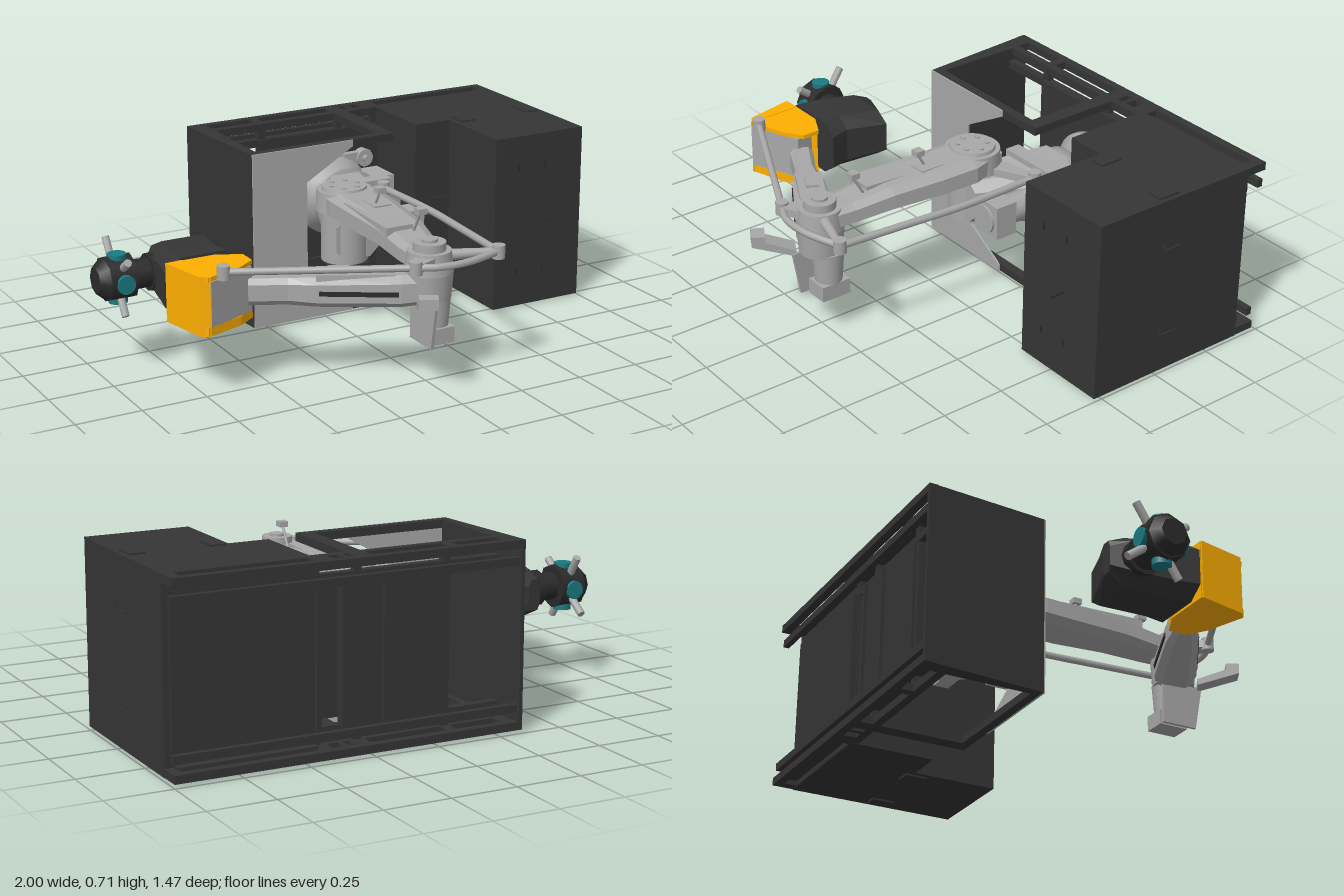
import * as THREE from 'three';

const mat = (color) => new THREE.MeshStandardMaterial({ color, side: THREE.DoubleSide });
const GREY = mat(0xa8a8a8), DARK = mat(0x353535), BLACK = mat(0x2a2a2a), ORANGE = mat(0xffb000), TEAL = mat(0x1a7a80);
const FACET = new THREE.MeshStandardMaterial({ color: 0xa8a8a8, flatShading: true });

export function createModel() {
  const model = new THREE.Group();
  model.name = 'robotCell';
  const group = (name, parent = model) => {
    const g = new THREE.Group();
    g.name = name;
    parent.add(g);
    return g;
  };
  const add = (parent, name, geometry, material = GREY) => {
    const m = new THREE.Mesh(geometry, material);
    m.name = name;
    parent.add(m);
    return m;
  };
  // Box given by its limits on each axis
  const box = (p, name, x0, x1, y0, y1, z0, z1, m = DARK) => {
    const b = add(p, name, new THREE.BoxGeometry(x1 - x0, y1 - y0, z1 - z0), m);
    b.position.set((x0 + x1) / 2, (y0 + y1) / 2, (z0 + z1) / 2);
    return b;
  };
  // Plan outline of [x, z] points raised from y0 to y1
  const slab = (p, name, pts, y0, y1, m = GREY) => {
    const s = new THREE.Shape(pts.map(([x, z]) => new THREE.Vector2(x, -z)));
    const g = new THREE.ExtrudeGeometry(s, { depth: y1 - y0, bevelEnabled: false });
    g.rotateX(-Math.PI / 2).translate(0, y0, 0);
    return add(p, name, g, m);
  };
  // Side outline of [z, y] points, thickened along x
  const profile = (p, name, pts, x, depth) => {
    const s = new THREE.Shape(pts.map(([z, y]) => new THREE.Vector2(-z, y)));
    add(p, name, new THREE.ExtrudeGeometry(s, { depth, bevelEnabled: false }).rotateY(Math.PI / 2)).position.x = x;
  };
  // Cylinder from a to b
  const rod = (p, name, a, b, r0, r1 = r0, m = GREY, n = 24) => {
    const A = new THREE.Vector3(...a), B = new THREE.Vector3(...b), d = B.clone().sub(A);
    const c = add(p, name, new THREE.CylinderGeometry(r1, r0, d.length(), n), m);
    c.position.copy(A).add(B).multiplyScalar(0.5);
    c.quaternion.setFromUnitVectors(new THREE.Vector3(0, 1, 0), d.normalize());
  };
  const tube = (p, name, pts, r) =>
    add(p, name, new THREE.TubeGeometry(new THREE.CatmullRomCurve3(pts.map((v) => new THREE.Vector3(...v))), 20, r, 8));
  // Chamfered box sections [z, centreX, centreY, width, height], in order of rising z
  const loft = (p, name, sections, m = FACET, chamfer = 0.2) => {
    const pos = [], idx = [], k = 0.5 - chamfer;
    const ring = [[0.5, -k], [0.5, k], [k, 0.5], [-k, 0.5], [-0.5, k], [-0.5, -k], [-k, -0.5], [k, -0.5]];
    for (const [z, cx, cy, w, h] of sections) for (const [u, v] of ring) pos.push(cx + u * w, cy + v * h, z);
    const last = (sections.length - 1) * 8;
    for (let s = 0; s < last; s += 8) for (let i = 0; i < 8; i++) {
      const j = (i + 1) % 8;
      idx.push(s + i, s + j, s + 8 + j, s + i, s + 8 + j, s + 8 + i);
    }
    for (let i = 1; i < 7; i++) idx.push(0, i + 1, i, last, last + i, last + i + 1);
    let g = new THREE.BufferGeometry();
    g.setAttribute('position', new THREE.Float32BufferAttribute(pos, 3));
    g.setIndex(idx);
    g = g.toNonIndexed();
    g.computeVertexNormals();
    add(p, name, g, m);
  };

  // L-shaped control cabinet
  const cabinet = group('cabinet');
  slab(cabinet, 'cabinetBody', [[0.44, -0.65], [0.993, -0.65], [0.993, 0.03], [0.595, 0.03], [0.595, -0.31], [0.44, -0.31]], 0.008, 0.7, DARK);
  box(cabinet, 'doorLatch', 0.5, 0.59, 0.32, 0.39, -0.31, -0.304);
  for (const x of [0.645, 0.945]) for (const y of [0.006, 0.702])
    box(cabinet, 'liftPlate', x - 0.03, x + 0.03, y - 0.005, y + 0.005, -0.34, -0.25);
  for (const x of [0.7, 0.82]) for (const y of [0.15, 0.57])
    box(cabinet, 'doorHinge', x - 0.003, x + 0.003, y - 0.015, y + 0.015, 0.03, 0.034, BLACK);
  for (const y of [0.15, 0.5]) {
    box(cabinet, 'sideHandle', 0.99, 0.998, y, y + 0.008, -0.34, -0.26);
    box(cabinet, 'handleEnd', 0.99, 0.998, y, y + 0.03, -0.268, -0.26);
  }
  rod(cabinet, 'doorKnob', [0.815, 0.36, 0.03], [0.815, 0.36, 0.09], 0.004, 0.004, BLACK, 8);

  // Open frame: matching top and bottom rails
  const frame = group('frame');
  for (const s of [-1, 1]) {
    const bar = (name, x0, x1, z0, z1, d = 0, t = 0.03) => {
      const y = 0.355 + s * (0.345 - d - t / 2);
      box(frame, name, x0, x1, y - t / 2, y + t / 2, z0, z1);
    };
    bar('backRail', -0.35, 0.993, -0.735, -0.702);
    bar('innerRail', -0.3, 0.993, -0.652, -0.62);
    bar('lowBackRail', -0.34, 0.993, -0.725, -0.702, 0.063);
    bar('lowInnerRail', -0.3, 0.993, -0.652, -0.62, 0.063);
    bar('slotFloor', 0.44, 0.96, -0.69, -0.65, 0.02, 0.02);
    bar('frontRail', -0.31, 0.305, -0.286, -0.25);
    bar('crossRail', 0.245, 0.305, -0.735, -0.25);
    for (const [a, b] of [[-0.095, -0.06], [0.33, 0.35], [0.39, 0.46], [0.95, 0.993]]) bar('shortTie', a, b, -0.72, -0.63);
    const y = s > 0 ? 0.67 : 0.01;
    slab(frame, 'sideRail', [[-0.35, -0.735], [-0.28, -0.735], [-0.28, -0.26], [-0.31, -0.25]], y, y + 0.03, DARK);
  }
  slab(frame, 'sidePanel', [[-0.35, -0.735], [-0.335, -0.735], [-0.298, -0.25], [-0.312, -0.25]], 0.01, 0.7, DARK);
  box(frame, 'backPlate', -0.09, 0.44, 0.13, 0.635, -0.635, -0.612);
  for (const x of [-0.08, 0.27, 0.43]) box(frame, 'innerPost', x - 0.015, x + 0.015, 0.03, 0.68, -0.65, -0.625);
  for (const x of [0.17, 0.33, 0.43]) box(frame, 'backPost', x - 0.01, x + 0.01, 0.1, 0.61, -0.675, -0.635);
  for (const [a, b] of [[-0.08, 0.16], [0.18, 0.32], [0.44, 0.97]])
    box(frame, 'backPanel', a, b, 0.1, 0.61, -0.662, -0.63);
  const bracket = new THREE.Shape([[-0.31, 0.01], [0.12, 0.01], [0.12, 0.035], [-0.08, 0.15], [-0.08, 0.56], [0.12, 0.675], [0.12, 0.7], [-0.31, 0.7]]
    .map(([x, y]) => new THREE.Vector2(x, y)));
  add(frame, 'frontGuard', new THREE.ExtrudeGeometry(bracket, { depth: 0.008, bevelEnabled: false })).position.z = -0.252;

  // Robot base on the back plate, turning about z
  const base = group('robotBase');
  const flare = [[0, 0], [0.16, 0], [0.16, 0.03], [0.125, 0.07], [0.115, 0.13], [0.14, 0.135], [0.14, 0.165], [0, 0.165]];
  const turn = add(base, 'flaredPedestal', new THREE.LatheGeometry(flare.map((p) => new THREE.Vector2(...p)), 32));
  turn.rotation.x = Math.PI / 2;
  turn.position.set(0.22, 0.37, -0.612);
  for (const y of [0.21, 0.51]) {
    rod(base, 'foot', [0.36, y, -0.61], [0.36, y, -0.57], 0.035);
    box(base, 'footArm', 0.27, 0.39, y - 0.025, y + 0.025, -0.61, -0.58, GREY);
    rod(base, 'footBolt', [0.36, y, -0.57], [0.36, y, -0.55], 0.015, 0.015, GREY, 6);
  }
  box(base, 'connectorBox', 0.32, 0.43, 0.29, 0.46, -0.6, -0.46, GREY);
  rod(base, 'baseMotor', [0.37, 0.37, -0.46], [0.37, 0.37, -0.39], 0.05);
  box(base, 'turretFlange', 0.07, 0.33, 0.26, 0.5, -0.37, -0.31, GREY);
  loft(base, 'turret', [[-0.45, 0.2, 0.37, 0.2, 0.26], [-0.36, 0.18, 0.37, 0.2, 0.25], [-0.26, 0.12, 0.36, 0.24, 0.2], [-0.1, 0.06, 0.36, 0.18, 0.17]]);
  rod(base, 'shoulderMotor', [0.26, 0.37, -0.36], [0.26, 0.37, -0.05], 0.055);
  box(base, 'motorCap', 0.21, 0.33, 0.31, 0.44, -0.15, -0.06, GREY);

  // Shoulder joint, about the vertical
  const shoulder = group('shoulder');
  rod(shoulder, 'shoulderHub', [0.04, 0.26, -0.17], [0.04, 0.46, -0.17], 0.09);
  rod(shoulder, 'shoulderDisc', [0.04, 0.46, -0.17], [0.04, 0.54, -0.17], 0.11, 0.105, GREY, 32);
  rod(shoulder, 'shoulderCap', [0.04, 0.54, -0.17], [0.04, 0.553, -0.17], 0.088, 0.085, GREY, 32);
  for (let i = 0; i < 6; i++) {
    const a = i * Math.PI / 3, x = 0.04 + 0.055 * Math.cos(a), z = -0.17 + 0.055 * Math.sin(a);
    rod(shoulder, 'capBolt', [x, 0.55, z], [x, 0.558, z], 0.01, 0.01, GREY, 6);
  }

  // Lower arm, dipping toward the elbow
  const lowerArm = group('lowerArm');
  loft(lowerArm, 'lowerArmBeam', [[-0.25, 0.04, 0.5, 0.16, 0.08], [-0.1, 0.05, 0.495, 0.23, 0.1], [0.05, 0.045, 0.49, 0.22, 0.1],
    [0.25, 0.035, 0.485, 0.19, 0.09], [0.4, 0.02, 0.465, 0.16, 0.08], [0.55, 0.01, 0.455, 0.13, 0.08]]);
  slab(lowerArm, 'armCover', [[-0.045, -0.02], [0.07, -0.02], [0.05, 0.32], [-0.06, 0.32]], 0.5, 0.535);
  box(lowerArm, 'coverBox', 0.02, 0.09, 0.53, 0.543, 0.0, 0.1, GREY);
  for (const z of [0.08, 0.37]) {
    rod(lowerArm, 'cablePost', [0.045, 0.5, z - 0.045], [0.045, 0.595, z + 0.01], 0.005, 0.005, GREY, 8);
    box(lowerArm, 'cableClip', 0.03, 0.065, 0.59, 0.612, z - 0.01, z + 0.025, GREY);
  }

  // Elbow with its hanging motor and bracket
  const elbow = group('elbow');
  rod(elbow, 'elbowHub', [0.01, 0.32, 0.5], [0.01, 0.42, 0.5], 0.08, 0.088, GREY, 32);
  rod(elbow, 'elbowRing', [0.01, 0.42, 0.5], [0.01, 0.5, 0.5], 0.088, 0.08, GREY, 32);
  rod(elbow, 'elbowCap', [0.01, 0.5, 0.5], [0.01, 0.53, 0.5], 0.06);
  rod(elbow, 'elbowPin', [0.01, 0.53, 0.5], [0.01, 0.54, 0.5], 0.03);
  rod(elbow, 'elbowMotor', [0.04, 0.19, 0.49], [0.04, 0.33, 0.49], 0.05, 0.06);
  box(elbow, 'motorEnd', 0.0, 0.09, 0.15, 0.21, 0.43, 0.55, GREY);
  profile(elbow, 'motorGuard', [[0.43, 0.15], [0.575, 0.15], [0.605, 0.32], [0.43, 0.34]], -0.025, 0.012);
  const stay = group('stay', elbow);
  stay.position.set(-0.02, 0, 0.53);
  stay.rotation.y = -0.5;
  profile(stay, 'stayArm', [[0.05, 0.31], [0.21, 0.36], [0.21, 0.4], [0.16, 0.4], [0.16, 0.375], [0.05, 0.335]], -0.035, 0.07);

  // Forearm along its own z, from elbow to wrist
  const forearm = group('forearm');
  forearm.position.set(0.01, 0, 0.5);
  forearm.rotation.y = Math.atan2(-0.57, -0.3);
  loft(forearm, 'forearmBeam', [[0, 0, 0.365, 0.14, 0.11], [0.1, 0, 0.36, 0.16, 0.12], [0.4, 0, 0.355, 0.12, 0.11], [0.5, 0, 0.355, 0.08, 0.1], [0.64, 0, 0.355, 0.09, 0.1]]);
  box(forearm, 'forearmCover', -0.05, 0.05, 0.39, 0.422, 0.12, 0.4, GREY);
  box(forearm, 'coverStep', -0.03, 0.02, 0.42, 0.432, 0.28, 0.36, GREY);
  for (const s of [-1, 1]) {
    const slot = box(forearm, 'forearmSlot', -0.004, 0.004, 0.348, 0.365, -0.14, 0.14, BLACK);
    slot.position.set(s * 0.07, 0.357, 0.25);
    slot.rotation.y = -s * 0.067;
  }

  // Parallel linkage that keeps the wrist level
  const linkage = group('linkage');
  const y = 0.475;
  rod(linkage, 'forearmRod', [-0.7, y, 0.3], [-0.1, y, 0.59], 0.013);
  tube(linkage, 'bowLink', [[-0.1, y, 0.59], [-0.02, y, 0.625], [0.1, y, 0.625], [0.25, y, 0.58]], 0.014);
  tube(linkage, 'armRod', [[0.25, y, 0.58], [0.27, y, 0.3], [0.285, y, 0.05], [0.275, y, -0.28]], 0.014);
  rod(linkage, 'elbowLink', [0.06, y, 0.52], [0.25, y, 0.58], 0.022, 0.014);
  slab(linkage, 'elbowTail', [[-0.04, 0.5], [0.03, 0.56], [-0.09, 0.61], [-0.115, 0.575]], 0.46, 0.49);
  slab(linkage, 'shoulderLink', [[0.06, -0.24], [0.28, -0.3], [0.28, -0.26], [0.06, -0.14]], 0.455, 0.485);
  for (const [x, z] of [[-0.7, 0.3], [-0.1, 0.59], [0.25, 0.58], [0.275, -0.28]])
    rod(linkage, 'linkPin', [x, 0.45, z], [x, 0.5, z], 0.024);

  // Wrist drive inside an orange shroud
  const wrist = group('wrist');
  const outline = [[-0.82, 0.085], [-0.63, 0.085], [-0.54, 0.13], [-0.54, 0.2], [-0.61, 0.25], [-0.76, 0.3], [-0.785, 0.27]];
  slab(wrist, 'shroudTop', outline, 0.447, 0.463, ORANGE);
  slab(wrist, 'shroudBottom', outline, 0.245, 0.28, ORANGE);
  slab(wrist, 'shroudSide', [[-0.825, 0.09], [-0.76, 0.085], [-0.75, 0.3], [-0.785, 0.28]], 0.245, 0.465, ORANGE);
  slab(wrist, 'shroudBack', [[-0.82, 0.085], [-0.63, 0.085], [-0.55, 0.13], [-0.57, 0.15], [-0.81, 0.12]], 0.26, 0.45, ORANGE);
  slab(wrist, 'wristDrive', [[-0.76, 0.1], [-0.57, 0.13], [-0.55, 0.22], [-0.75, 0.305]], 0.28, 0.447);

  // Dark end tool with spoked head
  const tool = group('tool');
  loft(tool, 'toolBody', [[-0.235, -0.72, 0.36, 0.05, 0.12], [-0.165, -0.64, 0.36, 0.28, 0.19], [0, -0.672, 0.36, 0.27, 0.22], [0.08, -0.67, 0.36, 0.31, 0.22]], DARK);
  rod(tool, 'toolNeck', [-0.88, 0.36, -0.13], [-0.74, 0.36, -0.13], 0.055, 0.055, BLACK, 12);
  rod(tool, 'neckFlange', [-0.8, 0.36, -0.13], [-0.76, 0.36, -0.13], 0.07, 0.07, BLACK, 12);
  rod(tool, 'headRing', [-0.965, 0.36, -0.135], [-0.865, 0.36, -0.135], 0.085, 0.085, BLACK, 8);
  rod(tool, 'headTip', [-1.0, 0.36, -0.135], [-0.965, 0.36, -0.135], 0.05, 0.08, BLACK, 8);
  rod(tool, 'headCore', [-0.915, 0.355, -0.225], [-0.915, 0.355, -0.045], 0.035, 0.035, TEAL, 16);
  rod(tool, 'headCore', [-0.915, 0.265, -0.135], [-0.915, 0.45, -0.135], 0.035, 0.035, TEAL, 16);
  for (let i = 0; i < 4; i++) {
    const a = 0.6 + i * Math.PI / 2;
    rod(tool, 'headSpoke', [-0.915, 0.357, -0.15], [-0.915, 0.357 + 0.155 * Math.cos(a), -0.15 - 0.145 * Math.sin(a)], 0.015, 0.015, GREY, 8);
  }
  return model;
}
